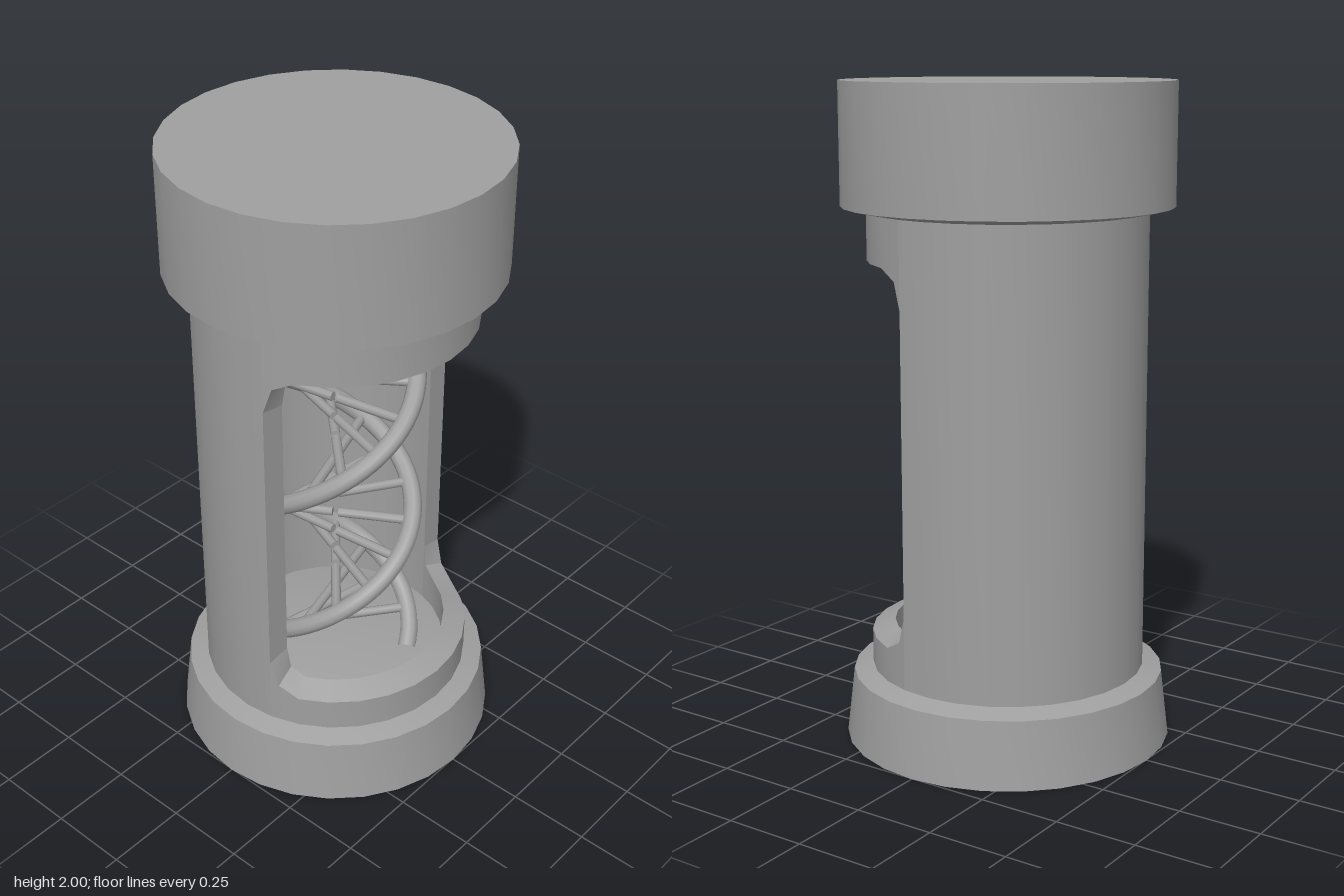
import * as THREE from 'three';
import { toCreasedNormals } from 'three/addons/utils/BufferGeometryUtils.js';

const SIDES = 28;
const STEP = (Math.PI * 2) / SIDES;
const R_OUT = 0.42, R_IN = 0.35;
const HALF = 6 * STEP; // half angle of the window
const BEVEL = 0.055; // angle by which the inner window edge stands in

const shell = new THREE.MeshStandardMaterial({ color: 0x9f9f9f });
const rod = new THREE.MeshStandardMaterial({ color: 0x9f9f9f, side: THREE.DoubleSide });

function add(parent, name, geometry, material) {
  const mesh = new THREE.Mesh(geometry, material);
  mesh.name = name;
  parent.add(mesh);
  return mesh;
}

function lathe(profile) {
  const points = profile.map(([r, y]) => new THREE.Vector2(r, y));
  return toCreasedNormals(new THREE.LatheGeometry(points, SIDES), 0.5);
}

// Point on the 28-sided wall: angles between corners stay on the flat facet
function wallPoint(a, r, y) {
  const local = a - (Math.floor(a / STEP + 1e-6) + 0.5) * STEP;
  const rr = (r * Math.cos(STEP / 2)) / Math.cos(local);
  return [Math.cos(a) * rr, y, Math.sin(a) * rr];
}

// Angle of the inner surface, moved into the window near its jambs
function innerAngle(a) {
  const distance = Math.abs(HALF - Math.acos(Math.cos(a)));
  return a - Math.sign(Math.sin(a)) * BEVEL * Math.max(0, 1 - distance / (STEP / 2));
}

// Curved wall swept through angles; heights(a) gives [inLow, outLow, outHigh, inHigh]
function sector(angles, heights, capped) {
  const rings = angles.map((a) => {
    const h = heights(a), b = innerAngle(a);
    return [
      wallPoint(b, R_IN, h[0]), wallPoint(a, R_OUT, h[1]),
      wallPoint(a, R_OUT, h[2]), wallPoint(b, R_IN, h[3]),
    ];
  });
  const pos = [];
  const quad = (a, b, c, d) => pos.push(...a, ...b, ...c, ...a, ...c, ...d);
  for (let i = 0; i < rings.length - 1; i++) {
    for (let j = 0; j < 4; j++) {
      const k = (j + 1) % 4;
      quad(rings[i][j], rings[i][k], rings[i + 1][k], rings[i + 1][j]);
    }
  }
  if (capped) {
    const [s, e] = [rings[0], rings[rings.length - 1]];
    quad(s[3], s[2], s[1], s[0]);
    quad(e[0], e[1], e[2], e[3]);
  }
  const g = new THREE.BufferGeometry();
  g.setAttribute('position', new THREE.Float32BufferAttribute(pos, 3));
  return toCreasedNormals(g, 0.5);
}

function buildHousing(group) {
  const low = 0.2, high = 1.64;

  // Back wall, closed at both window jambs
  const back = [];
  for (let i = 6; i <= 22; i++) back.push(i * STEP);
  add(group, 'backWall', sector(back, () => [low, low, high, high], true), shell);

  // Bands under and over the window, with rounded corners
  const corner = [HALF, HALF - 0.3 * STEP];
  const front = corner.map((a) => -a);
  for (let i = -5; i <= 5; i++) front.push(i * STEP);
  front.push(...corner.reverse());
  const rise = (a, h) => {
    const t = Math.min(1, (HALF - Math.abs(a)) / STEP);
    return h * (1 - Math.sqrt(Math.max(0, 1 - (1 - t) ** 2)));
  };
  add(group, 'lowerWindowBand', sector(front, (a) =>
    [low, low, 0.33 + rise(a, 0.115), 0.36 + rise(a, 0.1)]), shell);
  add(group, 'upperWindowBand', sector(front, (a) =>
    [1.45 - rise(a, 0.1), 1.475 - rise(a, 0.115), high, high]), shell);

  // Flared hollow foot with the floor of the chamber
  add(group, 'base', lathe([
    [0, 0.235], [0.36, 0.235], [0.36, 0.2], [0.47, 0.195], [0.499, 0],
    [0.503, 0], [0.479, 0.205], [0.42, 0.225], [0.34, 0.25], [0, 0.25],
  ]), shell);

  // Lid
  add(group, 'cap', lathe([
    [0, 1.65], [0.35, 1.65], [0.35, 1.62], [0.42, 1.62], [0.496, 1.636], [0.496, 2], [0, 2],
  ]), shell);
}

function buildHelix(group) {
  const radius = 0.24, k = (Math.PI * 2) / 0.97;
  const strand = (y, sign) => {
    const a = k * (y - 1.148);
    return new THREE.Vector3(sign * radius * Math.cos(a), y, -sign * radius * Math.sin(a));
  };

  // Two opposite strands
  for (const [name, sign, start] of [['strandA', 1, 0.245], ['strandB', -1, 0.225]]) {
    const pts = [];
    for (let i = 0; i <= 48; i++) pts.push(strand(start + ((1.655 - start) * i) / 48, sign));
    add(group, name, new THREE.TubeGeometry(new THREE.CatmullRomCurve3(pts), 96, 0.029, 10), rod);
  }

  // Rungs: two half bars with a small gap on the axis
  for (let i = 0; i < 17; i++) {
    const y = 0.32 + i * 0.071;
    for (const sign of [1, -1]) {
      const end = strand(y, sign);
      const start = new THREE.Vector3(0, y, 0).lerp(end, 0.04);
      const bar = add(group, 'rungHalf', new THREE.CylinderGeometry(0.015, 0.015, start.distanceTo(end), 8), rod);
      bar.position.copy(start).lerp(end, 0.5);
      bar.quaternion.setFromUnitVectors(new THREE.Vector3(0, 1, 0), end.sub(start).normalize());
    }
  }
}

export function createModel() {
  const model = new THREE.Group();
  model.name = 'helixCapsule';
  const housing = new THREE.Group();
  housing.name = 'housing';
  buildHousing(housing);
  const helix = new THREE.Group();
  helix.name = 'doubleHelix';
  buildHelix(helix);
  model.add(housing, helix);
  return model;
}
